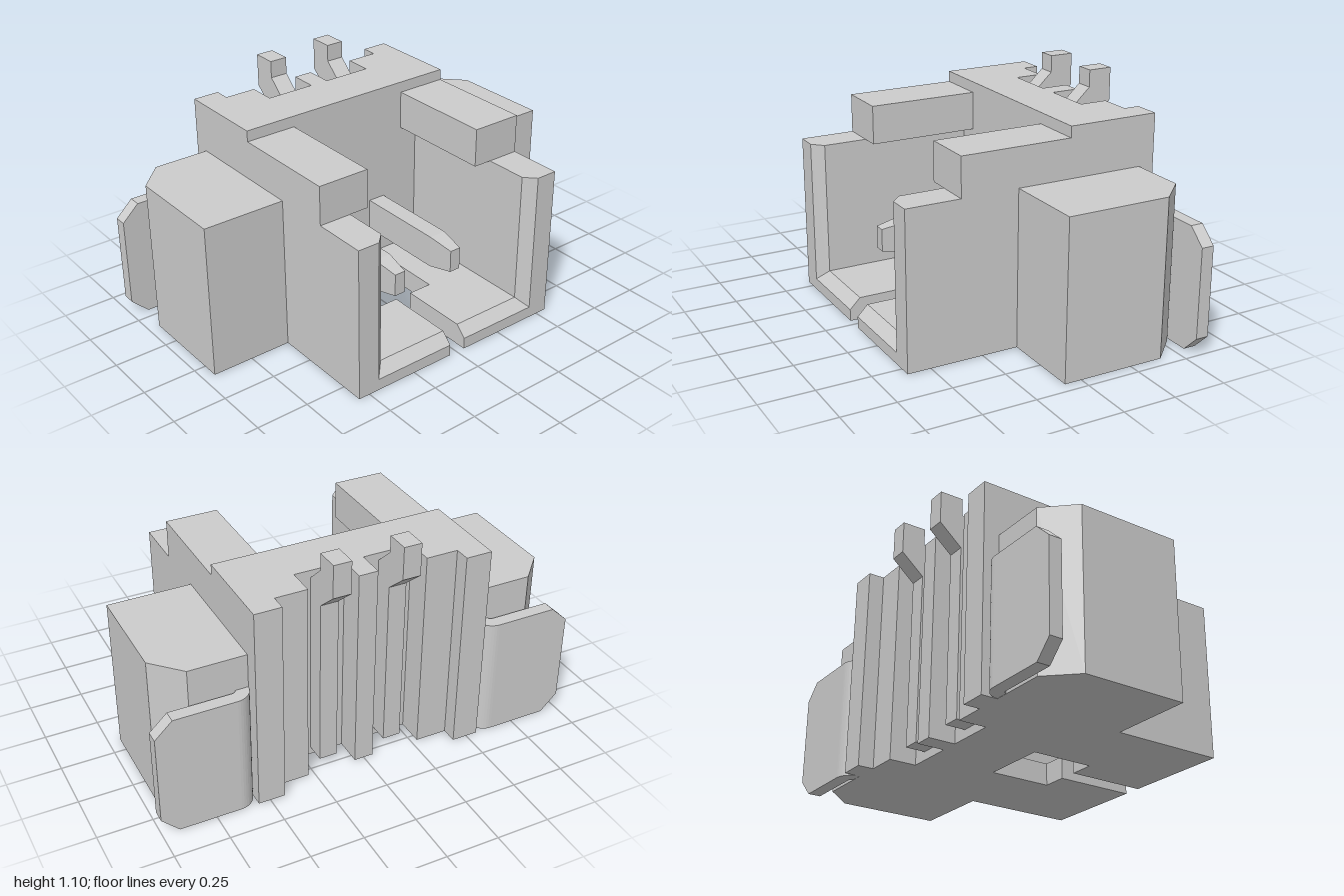
import * as THREE from 'three';

const material = new THREE.MeshStandardMaterial({ color: 0xcccccc, flatShading: true });
const smooth = new THREE.MeshStandardMaterial({ color: 0xcccccc });

// Floor plan given as [x, z] points, raised from y0 to y1
function plan(points, y0, y1) {
  const shape = new THREE.Shape(points.map(([x, z]) => new THREE.Vector2(x, -z)));
  const g = new THREE.ExtrudeGeometry(shape, { depth: y1 - y0, bevelEnabled: false });
  return g.rotateX(-Math.PI / 2).translate(0, y0, 0);
}

// Side profile given as [z, y] points, stretched from x0 to x1
function profile(points, x0, x1) {
  const shape = new THREE.Shape(points.map(([z, y]) => new THREE.Vector2(-z, y)));
  const g = new THREE.ExtrudeGeometry(shape, { depth: x1 - x0, bevelEnabled: false });
  return g.rotateY(Math.PI / 2).translate(x0, 0, 0);
}

function box(x0, x1, y0, y1, z0, z1) {
  return new THREE.BoxGeometry(x1 - x0, y1 - y0, z1 - z0)
    .translate((x0 + x1) / 2, (y0 + y1) / 2, (z0 + z1) / 2);
}

// Points on a quarter bend
function arc(cx, cz, r, from, to, n = 10) {
  return Array.from({ length: n + 1 }, (_, i) => {
    const a = from + (to - from) * i / n;
    return [cx + r * Math.cos(a), cz + r * Math.sin(a)];
  });
}

export function createModel() {
  const model = new THREE.Group();
  model.name = 'connector';
  const add = (name, geometry, parent = model, mat = material) => {
    const mesh = new THREE.Mesh(geometry, mat);
    mesh.name = name;
    parent.add(mesh);
  };

  // Back wall with ribs and pin grooves behind
  const halfBack = [[0.045, -0.535], [0.045, -0.405], [0.28, -0.405], [0.28, -0.535],
    [0.43, -0.535], [0.43, -0.61], [0.555, -0.61], [0.555, -0.175]];
  const mirrored = halfBack.map(([x, z]) => [-x, z]).reverse();
  add('backWall', plan([...halfBack, ...mirrored], 0, 0.97));

  // Floor strip joining both halves behind the opening
  add('floorBack', box(-0.45, 0.45, 0, 0.105, -0.2, -0.07));

  for (const s of [1, -1]) {
    const side = s > 0 ? 'left' : 'right';
    const half = new THREE.Group();
    half.name = side + 'Half';
    model.add(half);
    const flip = (pts) => pts.map(([x, z]) => [x * s, z]);
    const span = (a, b) => (s > 0 ? [a, b] : [-b, -a]);

    // Side wall with chamfered mouth, and the block on top
    add('sideWall', plan(flip([[0.4, -0.2], [0.4, 0.56], [0.45, 0.61], [0.555, 0.61], [0.555, -0.2]]), 0, 0.735), half);
    add('topRail', box(...span(0.308, 0.555), 0.735, 0.918, -0.2, 0.353), half);

    // Floor beside the slot, with sloped front lip
    add('floorFront', profile([[0.23, 0], [0.61, 0], [0.61, 0.055], [0.56, 0.105], [0.23, 0.105]], ...span(0.042, 0.5)), half);
    add('floorMiddle', box(...span(0.16, 0.45), 0, 0.105, -0.08, 0.24), half);

    // Side wing with a cut rear corner
    add('wing', plan(flip([[0.54, 0.08], [0.945, 0.08], [0.945, -0.405], [0.82, -0.535], [0.54, -0.535]]), 0, 0.735), half);

    // Solder tab: curved root and flat plate with cut corners
    const tab = new THREE.Group();
    tab.name = side + 'SolderTab';
    half.add(tab);
    const root = [[0.555, -0.45], ...arc(0.635, -0.53, 0.08, Math.PI, Math.PI * 1.5),
      [0.66, -0.61], [0.66, -0.55],
      ...arc(0.635, -0.53, 0.02, Math.PI * 1.5, Math.PI), [0.615, -0.45]];
    add('tabBend', plan(flip(root), 0.001, 0.575), tab, smooth);
    const plate = [[0.66, 0.001], [0.92, 0.001], [1, 0.08], [1, 0.5], [0.92, 0.575], [0.66, 0.575]];
    const plateShape = new THREE.Shape(plate.map(([x, y]) => new THREE.Vector2(x * s, y)));
    add('tabPlate', new THREE.ExtrudeGeometry(plateShape, { depth: 0.06, bevelEnabled: false })
      .translate(0, 0, -0.61), tab);

    // Contact pin: contact arm, tapered tip and kinked tail in the groove
    const pin = new THREE.Group();
    pin.name = side + 'Pin';
    half.add(pin);
    const [x0, x1] = span(0.12, 0.205);
    add('pinArm', box(x0, x1, 0.245, 0.4, -0.42, 0.275), pin);
    const tip = new THREE.BoxGeometry(0.085, 0.155, 0.125);
    const p = tip.attributes.position;
    for (let i = 0; i < p.count; i++) {
      if (p.getZ(i) > 0) p.setXY(i, p.getX(i) * 0.65, p.getY(i) * 0.7);
    }
    add('pinTip', tip.translate((x0 + x1) / 2, 0.3225, 0.3375), pin);
    add('pinTail', profile([[-0.4, 0.04], [-0.4, 0.93], [-0.497, 1.02], [-0.497, 1.1],
      [-0.61, 1.1], [-0.61, 0.945], [-0.5, 0.85], [-0.5, 0.04]], x0, x1), pin);
  }
  return model;
}
